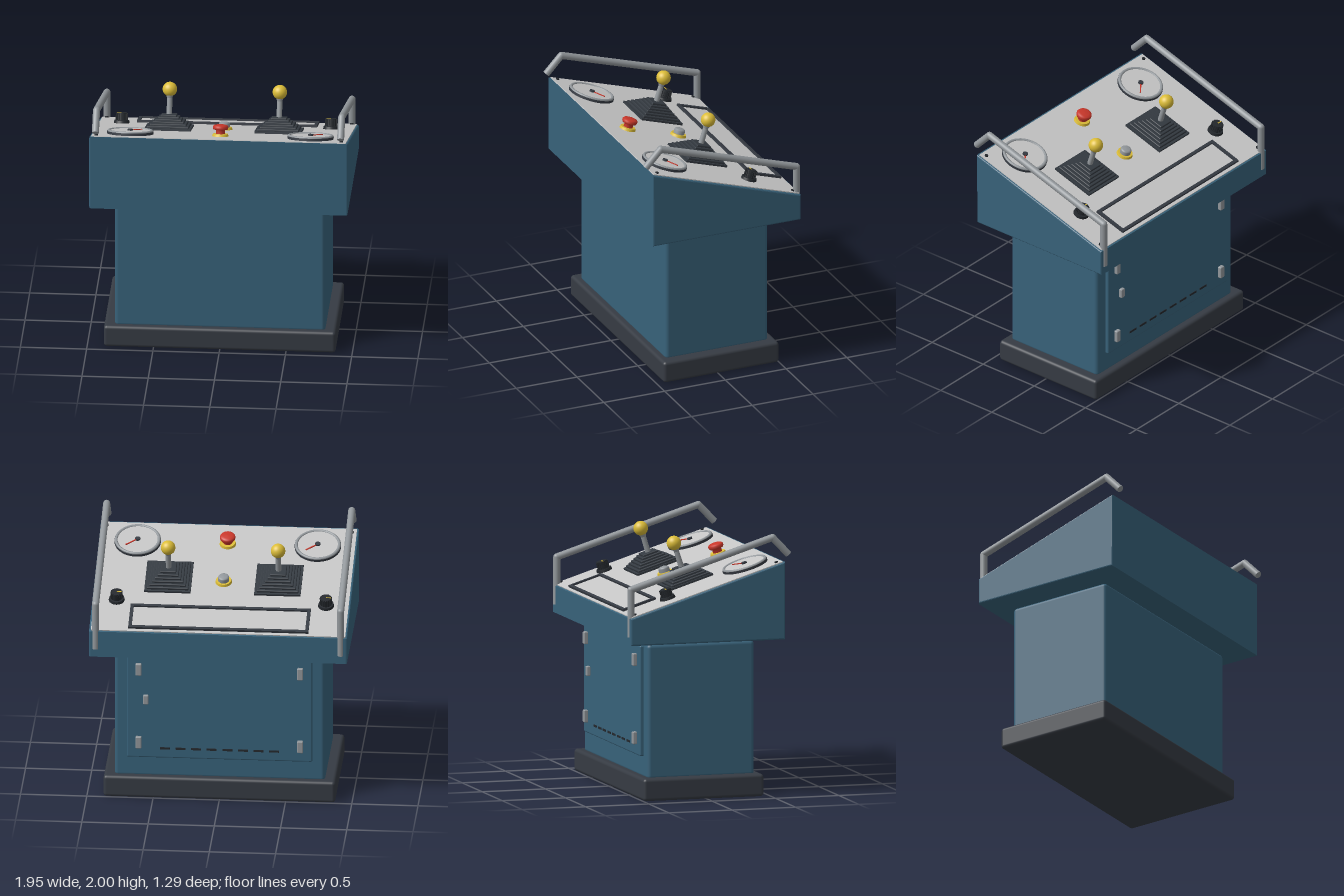
import * as THREE from 'three';
import { RoundedBoxGeometry } from 'three/addons/geometries/RoundedBoxGeometry.js';

export function createModel() {
  const root = new THREE.Group();
  root.name = 'controlConsole';
  const paint = (name, color) => {
    const m = new THREE.MeshStandardMaterial({ color });
    m.name = name;
    return m;
  };
  const blue = paint('blue paint', 0x38627a);
  const dark = paint('dark base', 0x363b43);
  const black = paint('black plastic', 0x24282d);
  const rubber = paint('rubber', 0x343a41);
  const plate = paint('light grey plate', 0xc6c6c6);
  const metal = paint('grey metal', 0x92979b);
  const red = paint('red', 0xc9372a);
  const yellow = paint('yellow', 0xdcbd38);

  const add = (parent, name, geo, mat, x = 0, y = 0, z = 0) => {
    const m = new THREE.Mesh(geo, mat);
    m.name = name;
    m.position.set(x, y, z);
    parent.add(m);
    return m;
  };
  const group = (parent, name, x, y, z) => {
    const g = new THREE.Group();
    g.name = name;
    g.position.set(x, y, z);
    parent.add(g);
    return g;
  };
  const box = (w, h, d) => new THREE.BoxGeometry(w, h, d);
  const cyl = (rTop, rBottom, h, n = 32) => new THREE.CylinderGeometry(rTop, rBottom, h, n);
  const rounded = (w, h, d, r) => new RoundedBoxGeometry(w, h, d, 3, r);

  // Plinth and pedestal
  add(root, 'plinth', rounded(1.75, 0.17, 0.95, 0.025), dark, 0, 0.085, -0.025);
  add(root, 'pedestal', rounded(1.59, 1.03, 0.845, 0.03), blue, 0, 0.665, -0.0225);

  // Wedge-shaped head, bevelled along its sides
  const wedge = new THREE.Shape([
    [-0.635, 1.2], [0.585, 1.2], [0.585, 1.79], [-0.635, 1.405],
  ].map(([z, y]) => new THREE.Vector2(z, y)));
  const bevel = 0.012;
  const headGeo = new THREE.ExtrudeGeometry(wedge, {
    depth: 1.95 - 2 * bevel, bevelThickness: bevel, bevelSize: bevel, bevelOffset: -bevel, bevelSegments: 3,
  });
  headGeo.translate(0, 0, -(1.95 - 2 * bevel) / 2).rotateY(-Math.PI / 2);
  add(root, 'head', headGeo, blue);

  // Back door with hinges, latch and vent slots
  const door = group(root, 'door', 0, 0, -0.46);
  add(door, 'doorPanel', rounded(1.4, 0.84, 0.036, 0.012), blue, 0, 0.74, 0.002);
  for (const x of [-0.61, 0.61]) {
    for (const y of [0.45, 1.045]) add(door, 'hinge', rounded(0.045, 0.095, 0.034, 0.008), metal, x, y, -0.031);
  }
  add(door, 'latch', rounded(0.04, 0.075, 0.03, 0.008), metal, 0.555, 0.8, -0.029);
  for (let i = 0; i < 8; i++) {
    add(door, 'ventSlot', box(0.075, 0.016, 0.006), black, -0.413 + i * 0.118, 0.4, -0.017);
  }

  // Sloping panel: local y is the panel normal
  const panel = group(root, 'panel', 0, 1.5975, -0.025);
  panel.rotation.x = -Math.atan2(0.385, 1.22);
  add(panel, 'panelPlate', box(1.92, 0.014, 1.254), plate, 0, 0, 0);
  for (const x of [-0.925, 0.925]) {
    for (const z of [-0.585, 0.585]) add(panel, 'screw', cyl(0.013, 0.013, 0.012, 16), black, x, 0.01, z);
  }

  // Display window with a raised frame
  const frame = new THREE.Shape([[-0.68, -0.136], [0.68, -0.136], [0.68, 0.136], [-0.68, 0.136]]
    .map((p) => new THREE.Vector2(...p)));
  frame.holes.push(new THREE.Path([[-0.655, -0.112], [-0.655, 0.112], [0.655, 0.112], [0.655, -0.112]]
    .map((p) => new THREE.Vector2(...p))));
  const frameGeo = new THREE.ExtrudeGeometry(frame, { depth: 0.02, bevelEnabled: false }).rotateX(-Math.PI / 2);
  add(panel, 'displayFrame', frameGeo, dark, 0, 0.004, -0.465);
  add(panel, 'displayFace', box(1.32, 0.006, 0.234), plate, 0, 0.008, -0.465);

  const ring = (r, tube) => new THREE.TorusGeometry(r, tube, 12, 48).rotateX(Math.PI / 2);

  for (const s of [-1, 1]) {
    // Round gauge
    const gauge = group(panel, 'gauge', s * 0.68, 0, 0.408);
    add(gauge, 'gaugeBody', cyl(0.175, 0.175, 0.026, 48), dark, 0, 0.013, 0);
    add(gauge, 'gaugeRim', ring(0.162, 0.012), metal, 0, 0.026, 0);
    add(gauge, 'gaugeFace', cyl(0.158, 0.158, 0.006, 48), plate, 0, 0.027, 0);
    add(gauge, 'needle', box(0.11, 0.006, 0.009), red, 0.0425, 0.034, -0.035).rotation.y = 0.69;
    add(gauge, 'needleHub', cyl(0.02, 0.02, 0.014, 20), dark, 0, 0.035, 0);

    // Joystick with a stepped rubber boot
    const stick = group(panel, 'joystick', s * 0.415, 0, 0);
    add(stick, 'bootFlange', box(0.35, 0.018, 0.35), rubber, 0, 0.013, 0);
    for (let i = 0; i < 6; i++) {
      const w = 0.315 - i * 0.039;
      add(stick, 'bootFold', rounded(w, 0.02, w, 0.006), rubber, 0, 0.029 + i * 0.0155, 0);
    }
    add(stick, 'shaft', cyl(0.019, 0.022, 0.17, 20), metal, 0, 0.19, 0);
    add(stick, 'collar', cyl(0.028, 0.02, 0.025, 20), metal, 0, 0.25, 0);
    add(stick, 'ballGrip', new THREE.SphereGeometry(0.055, 28, 20), yellow, 0, 0.305, 0);

    // Ribbed rotary knob
    const knob = group(panel, 'rotaryKnob', s * 0.79, 0, -0.27);
    add(knob, 'knobSkirt', cyl(0.056, 0.061, 0.022), black, 0, 0.016, 0);
    add(knob, 'knobCap', cyl(0.04, 0.042, 0.06), black, 0, 0.055, 0);
    for (let i = 0; i < 16; i++) {
      const a = (i / 16) * Math.PI * 2;
      add(knob, 'knobRib', box(0.008, 0.05, 0.008), black, Math.cos(a) * 0.042, 0.056, -Math.sin(a) * 0.042).rotation.y = a;
    }
    add(knob, 'knobMark', box(0.036, 0.004, 0.007), yellow, -0.02, 0.086, 0);

    // Handrail of straight tubes with round joints
    const rail = group(root, 'handrail', s * 0.925, 0, 0);
    const r = 0.027;
    const path = [[1.842, 0.624], [1.973, 0.5], [1.622, -0.618], [1.262, -0.618]]
      .map(([y, z]) => new THREE.Vector3(0, y, z));
    for (let i = 0; i < 3; i++) {
      const dir = path[i + 1].clone().sub(path[i]);
      const mid = path[i].clone().add(path[i + 1]).multiplyScalar(0.5);
      const tube = add(rail, 'railTube', cyl(r, r, dir.length(), 20), metal, ...mid.toArray());
      tube.quaternion.setFromUnitVectors(new THREE.Vector3(0, 1, 0), dir.normalize());
      if (i) add(rail, 'railJoint', new THREE.SphereGeometry(r, 20, 14), metal, ...path[i].toArray());
    }
  }

  // Push buttons turned from profiles, each on a yellow collar
  const button = (name, z, mat, profile) => {
    const g = group(panel, name, 0, 0, z);
    add(g, 'buttonCollar', cyl(0.057, 0.063, 0.02), yellow, 0, 0.015, 0);
    const pts = profile.map((p) => new THREE.Vector2(...p));
    add(g, 'buttonCap', new THREE.LatheGeometry(pts, 32), mat);
  };
  button('stopButton', 0.41, red,
    [[0.035, 0.02], [0.035, 0.055], [0.054, 0.058], [0.058, 0.066], [0.058, 0.08], [0.052, 0.089], [0.035, 0.094], [0, 0.096]]);
  button('startButton', -0.028, metal,
    [[0.042, 0.02], [0.042, 0.052], [0.038, 0.06], [0.028, 0.064], [0, 0.066]]);

  return root;
}
